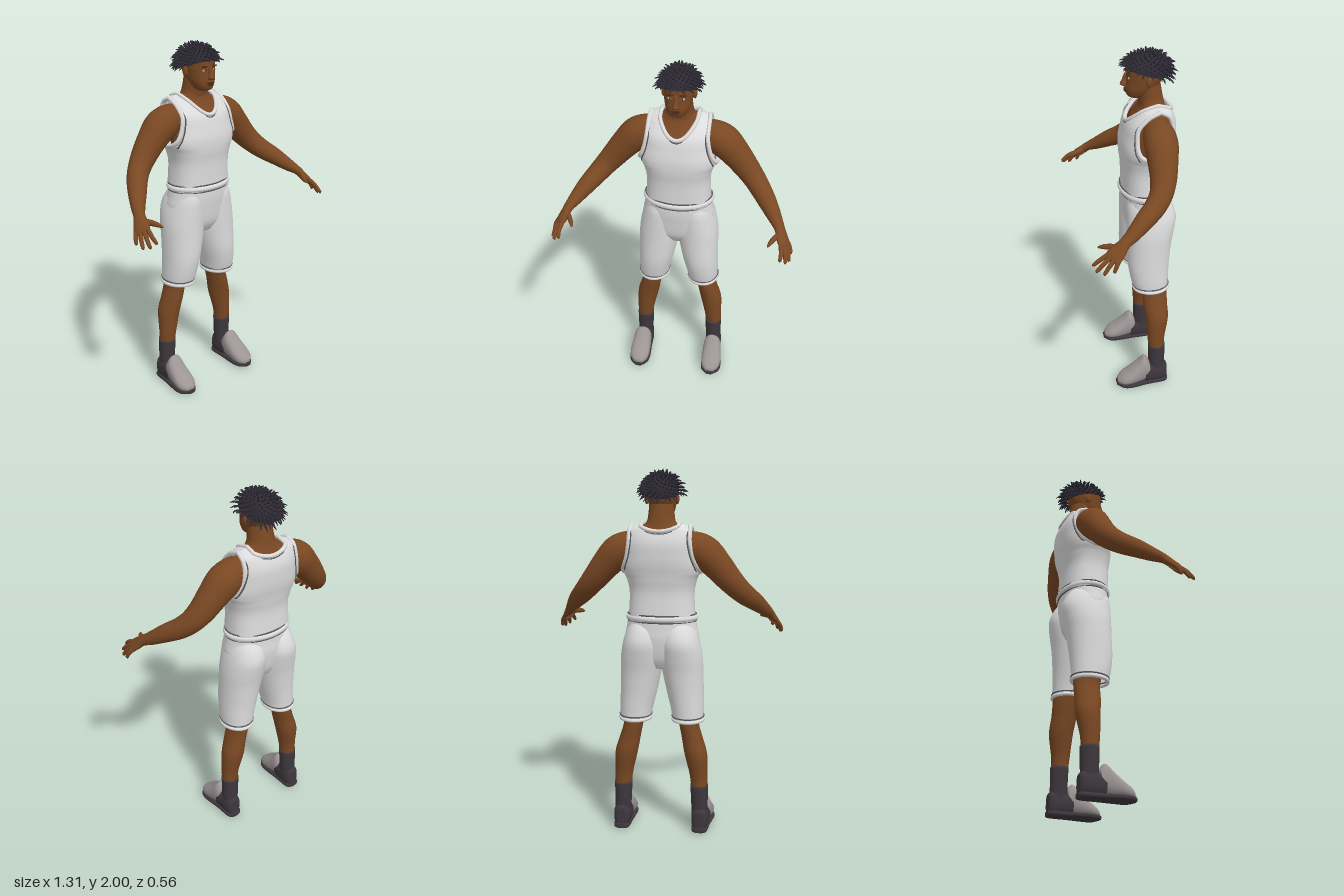
import * as THREE from 'three';
import { mergeGeometries, mergeVertices } from 'three/addons/utils/BufferGeometryUtils.js';

const V = (x, y, z) => new THREE.Vector3(x, y, z);
const UP = V(0, 1, 0), FWD = V(0, 0, 1), SIDE = V(1, 0, 0);

function paint(name, color, side = THREE.FrontSide) {
  const m = new THREE.MeshStandardMaterial({ color, side });
  m.name = name;
  return m;
}

// Smooth interpolation through rows of numbers; t counts rows
function spline(rows, t) {
  const i = Math.min(Math.floor(t), rows.length - 2), f = t - i;
  const at = k => rows[Math.max(0, Math.min(rows.length - 1, k))];
  const [a, b, c, d] = [at(i - 1), at(i), at(i + 1), at(i + 2)];
  return b.map((_, k) => b[k] + 0.5 * f * (c[k] - a[k]
    + f * (2 * a[k] - 5 * b[k] + 4 * c[k] - d[k] + f * (3 * (b[k] - c[k]) + d[k] - a[k]))));
}

// Skin over oval sections [x, y, z, halfWidth, halfDepth]; axis fixes the section plane
function loft(nodes, { axis, ref = SIDE, n = 28, sub = 5, p = 2, cap = true } = {}) {
  const rings = (nodes.length - 1) * sub, pos = [], idx = [];
  const centre = t => V(...spline(nodes, t).slice(0, 3));
  for (let i = 0; i <= rings; i++) {
    const t = i / sub, [x, y, z, a, b] = spline(nodes, t);
    const d = axis || centre(Math.min(t + 0.1, nodes.length - 1)).sub(centre(Math.max(t - 0.1, 0))).normalize();
    const S = ref.clone().addScaledVector(d, -ref.dot(d)).normalize(), T = d.clone().cross(S);
    for (let j = 0; j < n; j++) {
      const q = j / n * Math.PI * 2, c = Math.cos(q), s = Math.sin(q);
      const k = Math.pow(Math.abs(c) ** p + Math.abs(s) ** p, -1 / p);
      pos.push(...V(x, y, z).addScaledVector(S, a * c * k).addScaledVector(T, b * s * k).toArray());
      const j2 = (j + 1) % n, r = i * n;
      if (i < rings) idx.push(r + j, r + j2, r + n + j, r + j2, r + n + j2, r + n + j);
    }
  }
  if (cap) {
    const c0 = pos.length / 3, last = rings * n;
    pos.push(...nodes[0].slice(0, 3), ...nodes.at(-1).slice(0, 3));
    for (let j = 0; j < n; j++) {
      const j2 = (j + 1) % n;
      idx.push(c0, j2, j, c0 + 1, last + j, last + j2);
    }
  }
  return finish(pos, idx);
}

function finish(pos, idx) {
  const g = new THREE.BufferGeometry();
  g.setAttribute('position', new THREE.Float32BufferAttribute(pos, 3));
  g.setIndex(idx);
  g.computeVertexNormals();
  return g;
}

function mirrored(geo) {
  const g = geo.clone().scale(-1, 1, 1), a = g.index.array;
  for (let i = 0; i < a.length; i += 3) [a[i], a[i + 1]] = [a[i + 1], a[i]];
  g.computeVertexNormals();
  return g;
}

const loop = (pts, r) => new THREE.TubeGeometry(new THREE.CatmullRomCurve3(pts, true), 100, r, 8, true);
const ovalLoop = (x, y, z, a, b, r) => loop(Array.from({ length: 24 }, (_, i) =>
  V(x + a * Math.cos(i * Math.PI / 12), y, z + b * Math.sin(i * Math.PI / 12))), r);
const blob = (x, y, z, a, b, c) => new THREE.SphereGeometry(1, 20, 14).scale(a, b, c).translate(x, y, z);

// Jersey rows: [y, halfWidth, zFront, zBack, cut edge at the armhole]
const JERSEY = [
  [1.2, 0.185, 0.012, -0.245, 0.185], [1.24, 0.18, 0.01, -0.245, 0.18], [1.35, 0.176, 0.012, -0.24, 0.176],
  [1.42, 0.19, 0.02, -0.25, 0.19], [1.46, 0.208, 0.022, -0.257, 0.208], [1.5, 0.213, 0.02, -0.265, 0.195],
  [1.55, 0.206, 0.01, -0.27, 0.176], [1.62, 0.2, -0.01, -0.27, 0.162], [1.68, 0.19, -0.06, -0.25, 0.16],
  [1.705, 0.18, -0.1, -0.225, 0.16], [1.72, 0.175, -0.165, -0.165, 0.157]];
const TOP = JERSEY.length - 1;

function jerseyPoint(t, u, sx, face) {
  const [y, w, zf, zb, cut] = spline(JERSEY, t);
  const outer = t <= 4 ? w : Math.min(cut, w);
  const [y0, span] = face > 0 ? [1.62, 0.085] : [1.68, 0.025];
  const inner = 0.1 * Math.sqrt(THREE.MathUtils.clamp((y - y0) / span, 0, 1));
  const x = inner + (outer - inner) * Math.sin(u * Math.PI / 2);
  const bulge = Math.pow(Math.max(0, 1 - Math.pow(x / w, 2.5)), 0.4);
  const drop = 0.25 * Math.max(0, x - 0.1) * THREE.MathUtils.smoothstep(y, 1.6, 1.72);
  return V(sx * x, y - drop, (zf + zb) / 2 + face * bulge * (zf - zb) / 2);
}

function jerseyCloth() {
  const R = 70, C = 16, pos = [], idx = [];
  for (const sx of [1, -1]) for (const face of [1, -1]) {
    const base = pos.length / 3;
    for (let i = 0; i <= R; i++) for (let j = 0; j <= C; j++) {
      pos.push(...jerseyPoint(i / R * TOP, j / C, sx, face).toArray());
      if (i === R || j === C) continue;
      const a = base + i * (C + 1) + j, b = a + 1, c = a + C + 1, d = c + 1;
      idx.push(...(sx * face > 0 ? [a, b, c, b, d, c] : [a, c, b, b, c, d]));
    }
  }
  const g = finish(pos, idx);
  g.deleteAttribute('normal');
  const m = mergeVertices(g, 1e-4);
  m.computeVertexNormals();
  return m;
}

function armholeEdge(u) {
  const pts = [], N = 16;
  for (let i = 0; i <= N; i++) pts.push(jerseyPoint(TOP - (TOP - 4) * i / N, u, 1, 1));
  for (let i = 1; i < N; i++) pts.push(jerseyPoint(4 + (TOP - 4) * i / N, u, 1, -1));
  return pts;
}

function neckEdge(drop, push) {
  const pts = [], N = 10;
  const add = (s, sx, face) => {
    const t0 = face > 0 ? 7 : 8;
    pts.push(jerseyPoint(t0 + (TOP - t0) * s * s, 0, sx, face).add(V(0, -drop, face * push)));
  };
  for (let i = 0; i <= N; i++) add(i / N, 1, 1);
  for (let i = N - 1; i >= 0; i--) add(i / N, 1, -1);
  for (let i = 1; i <= N; i++) add(i / N, -1, -1);
  for (let i = N - 1; i > 0; i--) add(i / N, -1, 1);
  return pts;
}

// Short bent locks spread evenly over the scalp
function locks() {
  const list = [], N = 190;
  for (let i = 0; i < N; i++) {
    const h = 1 - 1.12 * (i + 0.5) / N, q = i * 2.39996, r = Math.sqrt(1 - h * h);
    const d = V(r * Math.cos(q), h, r * Math.sin(q)).applyAxisAngle(SIDE, -0.35);
    const root = V(d.x * 0.088, 1.885 + d.y * 0.088, -0.122 + d.z * 0.112);
    const len = 0.026 + 0.016 * (1 - Math.max(0, d.y)) + 0.006 * Math.sin(i * 7.3);
    const mid = root.clone().addScaledVector(d, len * 0.65);
    const tip = root.clone().addScaledVector(d, len).add(V(0.006 * Math.sin(i * 3.1), -0.012 * r, 0.006 * Math.cos(i * 5.7)));
    list.push(loft([[...root.toArray(), 0.006, 0.006], [...mid.toArray(), 0.005, 0.005], [...tip.toArray(), 0.001, 0.001]],
      { ref: V(0.3, 0.5, 0.81), n: 6, sub: 2 }));
  }
  return mergeGeometries(list);
}

export function createModel() {
  const model = new THREE.Group();
  const skin = paint('skin', 0x7a4823), palmSkin = paint('palm skin', 0xa96f50), lip = paint('lips and brows', 0x4a2a18);
  const hair = paint('hair', 0x2e2a34), cloth = paint('white cloth', 0xdcdcdc, THREE.DoubleSide);
  const seam = paint('seam grey', 0x5a5a5e), sock = paint('dark sock', 0x3d373d);
  const shoe = paint('grey shoe', 0x9d9595), eye = paint('eye white', 0xc9c0b8);
  const add = (name, geo, mat) => {
    const m = new THREE.Mesh(geo, mat);
    m.name = name;
    model.add(m);
  };
  const pair = (name, geo, mat) => {
    add('left ' + name, geo, mat);
    add('right ' + name, mirrored(geo), mat);
  };

  // Torso, neck and head
  add('chest and neck', loft([[0, 1.38, -0.12, 0.15, 0.1], [0, 1.5, -0.125, 0.17, 0.115], [0, 1.6, -0.14, 0.165, 0.11],
    [0, 1.66, -0.15, 0.145, 0.085], [0, 1.7, -0.15, 0.105, 0.068], [0, 1.73, -0.145, 0.077, 0.066],
    [0, 1.78, -0.135, 0.069, 0.066], [0, 1.84, -0.125, 0.066, 0.066]], { axis: UP }), skin);
  const head = [[1.745, 0.03, -0.035, -0.1], [1.757, 0.048, -0.018, -0.13], [1.79, 0.066, -0.01, -0.17], [1.83, 0.075, -0.012, -0.2],
    [1.87, 0.081, -0.014, -0.213], [1.91, 0.081, -0.016, -0.217], [1.94, 0.066, -0.042, -0.2], [1.96, 0.04, -0.075, -0.165], [1.966, 0.01, -0.11, -0.13]];
  add('head', loft(head.map(([y, w, f, b]) => [0, y, (f + b) / 2, w, (f - b) / 2]), { axis: UP, p: 2.2 }), skin);
  add('nose', loft([[0, 1.808, -0.008, 0.017, 0.016], [0, 1.818, -0.002, 0.018, 0.02], [0, 1.84, -0.008, 0.011, 0.016],
    [0, 1.872, -0.014, 0.009, 0.01]], { axis: UP, n: 16 }), skin);
  add('upper lip', blob(0, 1.789, -0.012, 0.024, 0.005, 0.009), lip);
  add('lower lip', blob(0, 1.78, -0.012, 0.02, 0.006, 0.009), lip);
  pair('ear', blob(0.082, 1.845, -0.12, 0.011, 0.028, 0.018), skin);
  pair('eye', blob(0.032, 1.856, -0.021, 0.013, 0.006, 0.005), eye);
  pair('pupil', blob(0.032, 1.857, -0.0175, 0.005, 0.005, 0.003), hair);
  pair('brow', blob(0.033, 1.876, -0.02, 0.021, 0.005, 0.009), lip);
  add('scalp hair', new THREE.SphereGeometry(1, 32, 18, 0, Math.PI * 2, 0, Math.PI * 0.54)
    .rotateX(-0.35).scale(0.09, 0.09, 0.118).translate(0, 1.885, -0.122), hair);
  add('hair locks', locks(), hair);

  // Arms and hands
  const across = V(0.48, -0.17, -0.86), back = V(0.69, 0.66, 0.26);
  pair('arm', loft([[0.1, 1.61, -0.15, 0.055, 0.055], [0.165, 1.6, -0.15, 0.08, 0.08], [0.235, 1.565, -0.15, 0.088, 0.09],
    [0.3, 1.5, -0.145, 0.078, 0.08], [0.36, 1.43, -0.135, 0.068, 0.07], [0.41, 1.375, -0.112, 0.06, 0.062],
    [0.455, 1.33, -0.07, 0.055, 0.056], [0.5, 1.29, -0.01, 0.049, 0.049], [0.545, 1.245, 0.055, 0.038, 0.037],
    [0.575, 1.215, 0.105, 0.031, 0.026], [0.59, 1.19, 0.135, 0.04, 0.022], [0.605, 1.165, 0.165, 0.044, 0.019],
    [0.614, 1.15, 0.182, 0.036, 0.012]], { ref: across }), skin);
  const pad = [[0.583, 1.2, 0.12, 0.015, 0.006], [0.592, 1.186, 0.14, 0.03, 0.012], [0.605, 1.165, 0.165, 0.034, 0.012], [0.612, 1.153, 0.178, 0.025, 0.006]];
  pair('palm', loft(pad.map(([x, y, z, a, b]) => [x - back.x * 0.011, y - back.y * 0.011, z - back.z * 0.011, a, b]), { ref: across, n: 18 }), palmSkin);
  [[0.595, 1.12, 0.27], [0.625, 1.1, 0.258], [0.643, 1.09, 0.222], [0.648, 1.1, 0.172]].forEach((tip, i) => {
    const root = V(0.607, 1.163, 0.168).addScaledVector(across, (i - 1.5) * 0.022), end = V(...tip);
    const mid = root.clone().lerp(end, 0.5).addScaledVector(back, 0.006), tipIn = root.clone().lerp(end, 0.93);
    pair('finger ' + (i + 1), loft([[...root.toArray(), 0.013, 0.013], [...mid.toArray(), 0.0115, 0.0115],
      [...tipIn.toArray(), 0.009, 0.009], [...tip, 0.003, 0.003]], { ref: across, n: 12, sub: 3 }), skin);
  });
  pair('thumb', loft([[0.58, 1.195, 0.13, 0.018, 0.015], [0.555, 1.192, 0.17, 0.016, 0.014], [0.535, 1.185, 0.208, 0.012, 0.011],
    [0.525, 1.178, 0.232, 0.004, 0.004]], { ref: across, n: 12, sub: 3 }), skin);

  // Sleeveless jersey with rolled edges
  add('jersey', jerseyCloth(), cloth);
  add('neck trim', loop(neckEdge(0, 0), 0.011), cloth);
  add('neck seam', loop(neckEdge(0.014, 0.004), 0.004), seam);
  pair('armhole trim', loop(armholeEdge(1), 0.012), cloth);
  pair('armhole seam', loop(armholeEdge(0.76), 0.004), seam);
  add('waist hem', ovalLoop(0, 1.215, -0.117, 0.183, 0.129, 0.016), cloth);
  for (const y of [1.197, 1.234]) add('waist seam', ovalLoop(0, y, -0.117, 0.187, 0.133, 0.004), seam);

  // Shorts
  add('shorts seat', loft([[0, 0.94, -0.125, 0.1, 0.08], [0, 1.0, -0.122, 0.19, 0.112], [0, 1.1, -0.122, 0.204, 0.128],
    [0, 1.16, -0.118, 0.194, 0.13], [0, 1.22, -0.117, 0.184, 0.128]], { axis: UP, p: 2.2 }), cloth);
  pair('shorts leg', loft([[0.148, 0.64, -0.13, 0.085, 0.098], [0.142, 0.71, -0.122, 0.092, 0.108], [0.13, 0.8, -0.118, 0.102, 0.117],
    [0.116, 0.92, -0.124, 0.113, 0.124], [0.109, 1.0, -0.131, 0.116, 0.132], [0.102, 1.08, -0.136, 0.109, 0.138],
    [0.096, 1.15, -0.126, 0.094, 0.126], [0.09, 1.2, -0.115, 0.075, 0.1]], { axis: UP, p: 2.15, cap: false }), cloth);
  pair('shorts hem', ovalLoop(0.148, 0.646, -0.13, 0.084, 0.098, 0.01), cloth);
  pair('shorts seam', ovalLoop(0.147, 0.664, -0.128, 0.088, 0.102, 0.004), seam);

  // Legs, socks and shoes
  pair('leg', loft([[0.217, 0.25, -0.155, 0.046, 0.045], [0.212, 0.33, -0.153, 0.051, 0.051], [0.196, 0.45, -0.159, 0.063, 0.066],
    [0.175, 0.54, -0.152, 0.058, 0.07], [0.156, 0.62, -0.15, 0.054, 0.073], [0.15, 0.7, -0.14, 0.06, 0.08]], { axis: UP }), skin);
  pair('sock', loft([[0.22, 0.08, -0.157, 0.044, 0.048], [0.218, 0.17, -0.157, 0.047, 0.048], [0.216, 0.27, -0.156, 0.05, 0.05]], { axis: UP }), sock);
  pair('shoe heel', loft([[0.222, 0.07, -0.217, 0.025, 0.05], [0.222, 0.074, -0.195, 0.044, 0.066], [0.222, 0.074, -0.13, 0.05, 0.066],
    [0.224, 0.07, -0.085, 0.05, 0.06]], { axis: FWD, p: 2.5 }), sock);
  pair('shoe upper', loft([[0.223, 0.09, -0.112, 0.045, 0.06], [0.224, 0.105, -0.082, 0.052, 0.082], [0.226, 0.083, -0.04, 0.057, 0.066],
    [0.228, 0.06, 0.01, 0.06, 0.046], [0.228, 0.046, 0.05, 0.051, 0.032], [0.226, 0.036, 0.08, 0.022, 0.014]], { axis: FWD, p: 2.3 }), shoe);
  pair('shoe sole', loft([[0.222, 0.017, -0.222, 0.022, 0.012], [0.222, 0.017, -0.2, 0.044, 0.017], [0.224, 0.017, -0.1, 0.051, 0.017],
    [0.228, 0.017, 0, 0.062, 0.017], [0.228, 0.017, 0.05, 0.054, 0.017], [0.226, 0.02, 0.086, 0.022, 0.012]], { axis: FWD, p: 3 }), sock);
  return model;
}
